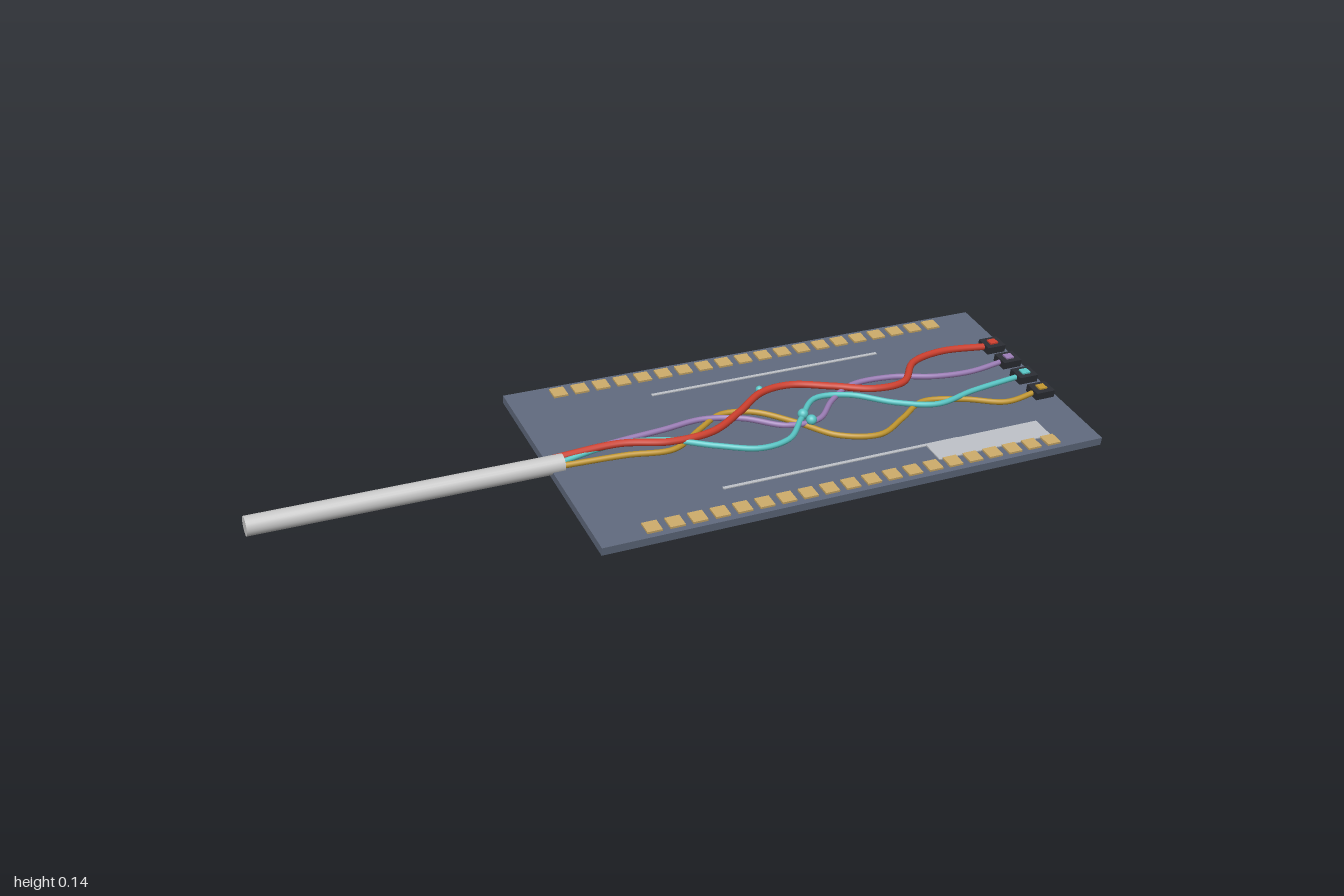
import * as THREE from 'three';

const mat = (name, color) => {
  const m = new THREE.MeshStandardMaterial({ color });
  m.name = name;
  return m;
};

export function createModel() {
  const M = {
    board: mat('slate board', 0x5e687b),
    gold: mat('gold pad', 0xc8a868),
    print: mat('pale print', 0xb9bdc3),
    cable: mat('grey cable', 0xc8c8c8),
    dark: mat('dark connector', 0x2b2d33),
    red: mat('red wire', 0xcc3f2e),
    purple: mat('purple wire', 0x9a7cb4),
    teal: mat('teal wire', 0x58c4c4),
    yellow: mat('yellow wire', 0xbf952f),
  };
  const model = new THREE.Group();
  model.name = 'wiredBoard';

  // Everything is laid out in the board's own frame: x along it, y off its top face
  const frame = new THREE.Group();
  frame.name = 'tiltedAssembly';
  frame.position.set(0.2825, 0.0665, -0.0025);
  frame.rotation.set(0.1815, -0.2999, 0, 'YXZ');
  model.add(frame);
  const TOP = 0.01;

  const add = (name, geometry, material, x = 0, y = 0, z = 0) => {
    const mesh = new THREE.Mesh(geometry, material);
    mesh.name = name;
    mesh.position.set(x, y, z);
    frame.add(mesh);
    return mesh;
  };
  const box = (name, w, h, d, material, x, y, z) =>
    add(name, new THREE.BoxGeometry(w, h, d), material, x, y, z);

  // Board
  box('board', 1.303, 0.02, 0.627, M.board, 0, 0, 0);

  // Contact pads along both long edges, and a printed line inside each row
  for (const side of [-1, 1]) {
    for (let i = 0; i < 20; i++) {
      box('contactPad', 0.036, 0.006, 0.036, M.gold, -0.522 + i * 0.0549, TOP + 0.002, side * 0.282);
    }
    box('printedLine', 0.625, 0.003, 0.008, M.print, 0, TOP + 0.001, side * 0.202);
  }
  box('labelPlate', 0.315, 0.004, 0.066, M.print, 0.377, TOP + 0.001, 0.233);

  // Incoming cable
  const cable = new THREE.CylinderGeometry(0.0225, 0.0225, 0.715, 24);
  cable.rotateZ(Math.PI / 2);
  add('cable', cable, M.cable, -0.978, 0.016, 0);

  // Wires: pairs of (x, z) along the board, each ending in a connector
  const wires = [
    { name: 'red', r: 0.009, lift: 0.026, path: [
      [-0.48, -0.004], [-0.368, 0.026], [-0.257, 0.02], [-0.162, -0.033], [-0.069, -0.096], [0.012, -0.104],
      [0.108, -0.066], [0.205, -0.023], [0.288, -0.027], [0.359, -0.1], [0.454, -0.124]] },
    { name: 'purple', r: 0.007, lift: 0.018, path: [
      [-0.49, -0.022], [-0.358, -0.034], [-0.249, -0.045], [-0.157, -0.017], [-0.072, 0.042], [0.014, 0.043],
      [0.083, -0.019], [0.164, -0.067], [0.275, -0.068], [0.386, -0.035], [0.484, -0.026]] },
    { name: 'teal', r: 0.007, lift: 0.022, path: [
      [-0.49, -0.009], [-0.372, 0.011], [-0.27, 0.07], [-0.174, 0.113], [-0.094, 0.1], [-0.029, 0.034],
      [0.045, -0.036], [0.132, -0.023], [0.226, 0.044], [0.321, 0.082], [0.437, 0.058]] },
    { name: 'yellow', r: 0.007, lift: 0.014, path: [
      [-0.478, 0.028], [-0.363, 0.042], [-0.269, -0.016], [-0.197, -0.056], [-0.119, -0.04], [-0.041, 0.032],
      [0.028, 0.112], [0.127, 0.143], [0.214, 0.099], [0.3, 0.05], [0.403, 0.074], [0.5, 0.118]] },
  ];
  wires.forEach(({ name, r, lift, path }, i) => {
    const endZ = -0.1125 + i * 0.075;
    const points = [
      new THREE.Vector3(-0.64, 0.026 - i * 0.003, (i - 1.5) * 0.007),
      ...path.map(([x, z]) => new THREE.Vector3(x, TOP + lift, z)),
      new THREE.Vector3(0.59, TOP + 0.0225, endZ),
    ];
    const curve = new THREE.CatmullRomCurve3(points);
    add(name + 'Wire', new THREE.TubeGeometry(curve, 120, r, 10), M[name]);

    // Connector block with a coloured face on top
    box('connector', 0.052, 0.019, 0.046, M.dark, 0.602, TOP + 0.0225, endZ);
    box(name + 'ConnectorMark', 0.022, 0.006, 0.02, M[name], 0.602, TOP + 0.033, endZ);
  });

  // Small beads where the wires cross
  for (const [x, z, r] of [[-0.02, 0.024, 0.013], [-0.012, 0.053, 0.013], [-0.072, -0.106, 0.009]]) {
    add('bead', new THREE.SphereGeometry(r, 16, 12), M.teal, x, TOP + 0.028, z);
  }
  return model;
}
